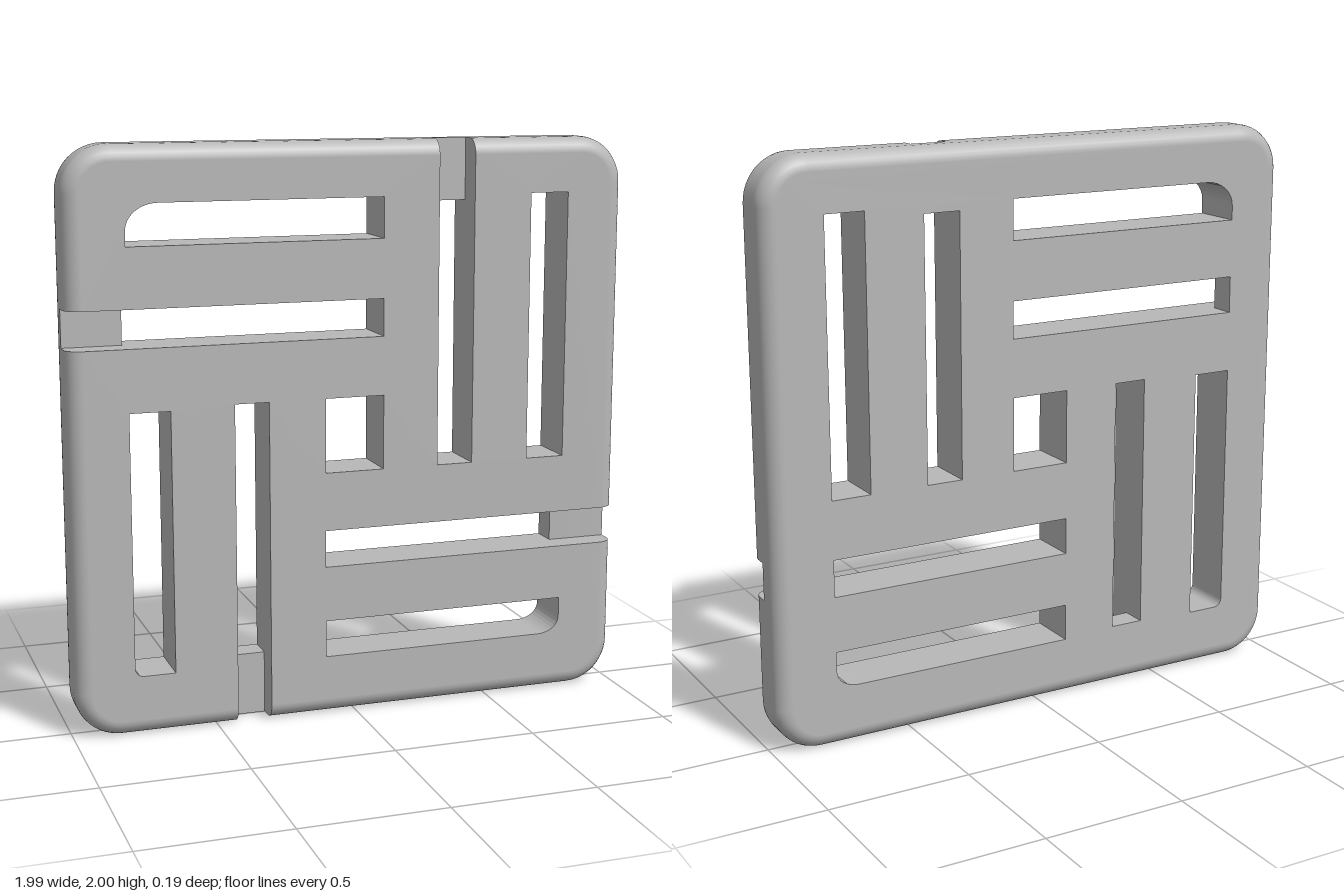
import * as THREE from 'three';

const W = 0.993, H = 1;   // half width and half height of the plate
const R = 0.16;           // corner radius of the outline
const T = 0.093;          // half thickness
const EDGE = 0.055;       // rounding of the outer rim
const CX = W - R, CY = H - R;

// Slots as [x0, x1, y0, y1], heights measured from the base
const closedSlots = [
  [0.64, 0.78, 0.87, 1.81],
  [-0.11, 0.10, 0.87, 1.13],
];
// Closed slots with one rounded corner: [slot, corner index (0 = lower left, then CCW), rx, ry]
const roundedSlots = [
  [[-0.79, 0.10, 1.67, 1.81], 3, 0.11, 0.09],
  [[-0.11, 0.78, 0.21, 0.34], 1, 0.08, 0.06],
  [[-0.79, -0.65, 0.21, 1.12], 0, 0.03, 0.03],
];
// Slots whose front half runs out through the rim; bottom, right, top, left
const openSlots = [
  [-0.43, -0.31, 0.22, 1.13],
  [-0.11, 0.78, 0.535, 0.665],
  [0.30, 0.43, 0.87, 1.785],
  [-0.79, 0.10, 1.335, 1.465],
];

const v = (x, y) => new THREE.Vector2(x, y);

function slotPath([x0, x1, y0, y1], round = -1, rx = 0, ry = 0) {
  const corners = [[x0, y0], [x1, y0], [x1, y1], [x0, y1]];
  const pts = [];
  corners.forEach(([x, y], i) => {
    if (i !== round) return pts.push(v(x, y - H));
    const sx = x === x0 ? 1 : -1, sy = y === y0 ? 1 : -1;
    for (let k = 0; k <= 8; k++) {
      const a = Math.PI + i * Math.PI / 2 + k / 8 * Math.PI / 2;
      pts.push(v(x + sx * rx + rx * Math.cos(a), y - H + sy * ry + ry * Math.sin(a)));
    }
  });
  return new THREE.Path(pts);
}

// Rounded outline, counter-clockwise, with optional slots cut in from each side
function outline(notched) {
  const [b, r, t, l] = openSlots;
  const cuts = [
    [[b[0], 0], [b[0], b[3]], [b[1], b[3]], [b[1], 0]],
    [[W, r[2]], [r[0], r[2]], [r[0], r[3]], [W, r[3]]],
    [[t[1], 2 * H], [t[1], t[2]], [t[0], t[2]], [t[0], 2 * H]],
    [[-W, l[3]], [l[1], l[3]], [l[1], l[2]], [-W, l[2]]],
  ];
  const centres = [[-CX, -CY], [CX, -CY], [CX, CY], [-CX, CY]];
  const pts = [];
  centres.forEach(([cx, cy], i) => {
    for (let k = 0; k <= 12; k++) {
      const a = Math.PI + (i + k / 12) * Math.PI / 2;
      pts.push(v(cx + R * Math.cos(a), cy + R * Math.sin(a)));
    }
    if (notched) cuts[i].forEach(([x, y]) => pts.push(v(x, y - H)));
  });
  return new THREE.Shape(pts);
}

// One half of the plate: an extrusion whose outer rim is pulled in to a quarter round
function plateHalf(front) {
  const shape = outline(front);
  shape.holes = closedSlots.map(s => slotPath(s));
  roundedSlots.forEach(([s, i, rx, ry]) => shape.holes.push(slotPath(s, i, rx, ry)));
  if (!front) openSlots.forEach(s => shape.holes.push(slotPath(s)));

  // Rim profile: [z, inset, angle] from the middle plane outwards
  const profile = [[0, 0, 0]];
  for (let k = 0; k <= 6; k++) {
    const a = k / 6 * Math.PI / 2;
    profile.push([T - EDGE + EDGE * Math.sin(a), EDGE * (1 - Math.cos(a)), a]);
  }
  const n = profile.length - 1;
  const geo = new THREE.ExtrudeGeometry(shape, { depth: n, steps: n, bevelEnabled: false });
  const pos = geo.attributes.position;
  const side = front ? 1 : -1;
  const rim = [];
  for (let i = 0; i < pos.count; i++) {
    const x = pos.getX(i), y = pos.getY(i), level = Math.round(pos.getZ(i));
    const [z, inset, a] = profile[front ? level : n - level];
    const d = v(x - THREE.MathUtils.clamp(x, -CX, CX), y - THREE.MathUtils.clamp(y, -CY, CY));
    const onRim = Math.abs(d.length() - R) < 1e-4;
    if (onRim) d.normalize();
    rim.push(onRim ? [d, a] : null);
    const pull = onRim ? inset : 0;
    pos.setXYZ(i, x - d.x * pull, y - d.y * pull + H, side * z);
  }
  geo.computeVertexNormals();

  // Smooth normals on the rim only; faces and slot walls stay flat
  const nor = geo.attributes.normal;
  rim.forEach((e, i) => {
    if (!e) return;
    const [d, a] = e;
    if (nor.getX(i) * d.x + nor.getY(i) * d.y < 0.05) return;
    nor.setXYZ(i, d.x * Math.cos(a), d.y * Math.cos(a), side * Math.sin(a));
  });
  return geo;
}

export function createModel() {
  const group = new THREE.Group();
  group.name = 'slottedPlate';
  const grey = new THREE.MeshStandardMaterial({ color: 0xb8b8b8 });
  grey.name = 'grey';
  for (const front of [true, false]) {
    const mesh = new THREE.Mesh(plateHalf(front), grey);
    mesh.name = front ? 'frontHalfWithNotches' : 'backHalf';
    group.add(mesh);
  }
  return group;
}
